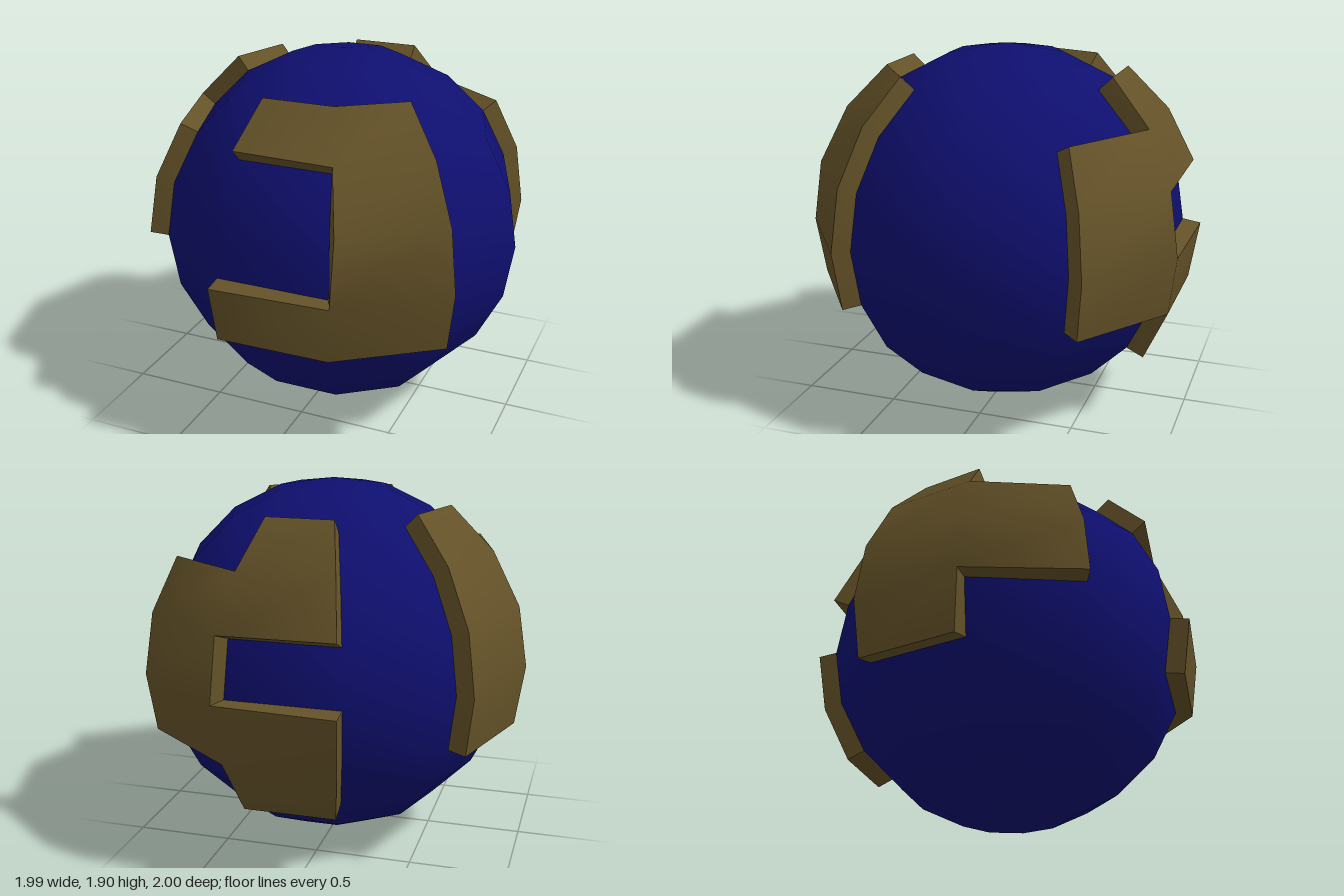
import * as THREE from 'three';
import { toCreasedNormals } from 'three/addons/utils/BufferGeometryUtils.js';

const R = 0.948, THICK = 0.097, SEG = 10, RINGS = 10;
const CENTER = [0.041, 0.949, 0];
const ringAngle = (k) => (k * Math.PI) / RINGS;
const sectorAngle = (j) => (j * 2 * Math.PI) / SEG;

// Grid point on the globe: ring k down from the pole, meridian j from +x towards +z
function gridPoint(k, j) {
  const t = ringAngle(k), a = sectorAngle(j);
  return new THREE.Vector3(Math.sin(t) * Math.cos(a), Math.cos(t), Math.sin(t) * Math.sin(a)).multiplyScalar(R);
}

// Flat normal of the globe cell below ring k and after meridian j
function cellNormal(k, j) {
  const t = ringAngle(k + 0.5), a = sectorAngle(j + 0.5);
  return new THREE.Vector3(
    Math.sin(t) * Math.cos(a), Math.cos(t) * Math.cos(Math.PI / SEG), Math.sin(t) * Math.sin(a)
  ).normalize();
}

// Raised slab covering a set of globe cells; sectors = { meridian: [rows] }
function landGeometry(sectors) {
  const cells = Object.entries(sectors).flatMap(([j, rows]) => rows.map((k) => [k, Number(j)]));
  const corners = ([k, j]) => [[k, j], [k, j + 1], [k + 1, j + 1], [k + 1, j]];
  const normals = {}, edges = new Set();
  for (const cell of cells) {
    const ring = corners(cell), n = cellNormal(...cell);
    ring.forEach((c, i) => {
      (normals[c] ??= []).push(n);
      edges.add(`${c}|${ring[(i + 1) % 4]}`);
    });
  }
  // Each corner is lifted along the mean normal of the cells that meet there
  const lifted = (c) => {
    const p = gridPoint(...c);
    for (const n of normals[c]) p.addScaledVector(n, THICK / normals[c].length);
    return p;
  };
  const pos = [];
  const quad = (a, b, c, d) => [a, b, c, a, c, d].forEach((p) => pos.push(p.x, p.y, p.z));
  for (const cell of cells) {
    const ring = corners(cell);
    quad(...ring.map(lifted));
    // Rim walls where no neighbouring cell shares the edge
    ring.forEach((p, i) => {
      const q = ring[(i + 1) % 4];
      if (!edges.has(`${q}|${p}`)) quad(gridPoint(...p), gridPoint(...q), lifted(q), lifted(p));
    });
  }
  const geo = new THREE.BufferGeometry();
  geo.setAttribute('position', new THREE.Float32BufferAttribute(pos, 3));
  return toCreasedNormals(geo, THREE.MathUtils.degToRad(50));
}

export function createModel() {
  const group = new THREE.Group();
  group.name = 'globe';
  const water = new THREE.MeshStandardMaterial({ color: 0x0f0f70 });
  const land = new THREE.MeshStandardMaterial({ color: 0x645228 });

  const add = (name, geometry, material) => {
    const mesh = new THREE.Mesh(geometry, material);
    mesh.name = name;
    mesh.position.set(...CENTER);
    group.add(mesh);
  };

  // Ocean ball
  add('ocean', new THREE.SphereGeometry(R, SEG, RINGS), water);

  // Raised land masses
  add('frontLand', landGeometry({ 1: [2, 3, 4, 5], 2: [2, 5] }), land);
  add('rightLand', landGeometry({ 4: [3, 4], 5: [2, 3, 4, 5] }), land);
  add('backLand', landGeometry({ 7: [2, 3, 5, 6], 8: [3, 4, 5] }), land);

  return group;
}
